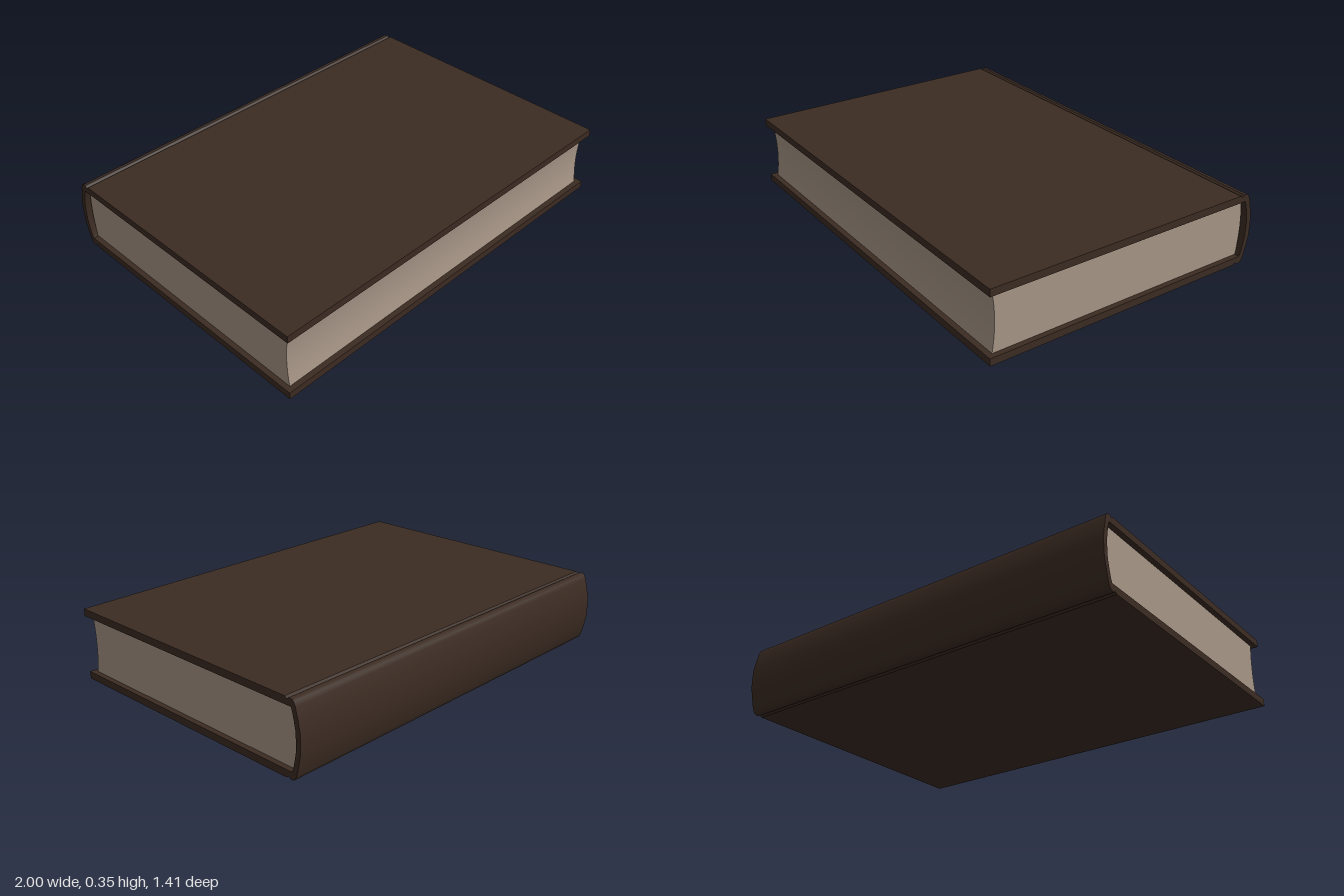
import * as THREE from 'three';
import { toCreasedNormals } from 'three/addons/utils/BufferGeometryUtils.js';

const MID = 0.173; // half of the closed book's thickness

// Extrudes a profile drawn as [-z, y] along x, centred on x = 0
function extrudeAlongX(points, length) {
  const shape = new THREE.Shape(points.map(([u, y]) => new THREE.Vector2(u, y)));
  const geometry = new THREE.ExtrudeGeometry(shape, { depth: length, bevelEnabled: false });
  geometry.translate(0, 0, -length / 2);
  geometry.rotateY(Math.PI / 2);
  return toCreasedNormals(geometry, 0.6);
}

// Adds the lower half of a profile, mirrored about the mid height
function mirrored(upper) {
  return [...upper, ...upper.map(([u, y]) => [u, 2 * MID - y]).reverse()];
}

export function createModel() {
  const group = new THREE.Group();
  const leather = new THREE.MeshStandardMaterial({ color: 0x3b2b22 });
  leather.name = 'dark brown leather';
  const paper = new THREE.MeshStandardMaterial({ color: 0xa69586 });
  paper.name = 'aged paper';

  const add = (name, points, length, material) => {
    const mesh = new THREE.Mesh(extrudeAlongX(points, length), material);
    mesh.name = name;
    group.add(mesh);
  };

  // Boards, hinge grooves and rounded spine in one wrapped strip
  const outer = mirrored([
    [-0.705, 0.346], [0.624, 0.346], [0.635, 0.337], [0.645, 0.346],
    [0.662, 0.345], [0.672, 0.338], [0.681, 0.318], [0.694, 0.265], [0.704, 0.215],
  ]);
  const inner = mirrored([
    [-0.705, 0.311], [0.655, 0.311], [0.662, 0.295], [0.671, 0.255], [0.679, 0.212],
  ]);
  add('cover', [...outer, ...inner.reverse()], 2, leather);

  // Page block: hollow fore edge, rounded back
  const steps = 12;
  const arc = (u, bulge, from, to) => Array.from({ length: steps + 1 }, (_, i) => {
    const t = i / steps;
    return [u + bulge * 4 * t * (1 - t), from + (to - from) * t];
  });
  const low = 0.035, high = 0.311;
  add('pages', [...arc(-0.678, 0.012, high, low), ...arc(0.656, 0.012, low, high)], 1.95, paper);

  return group;
}
